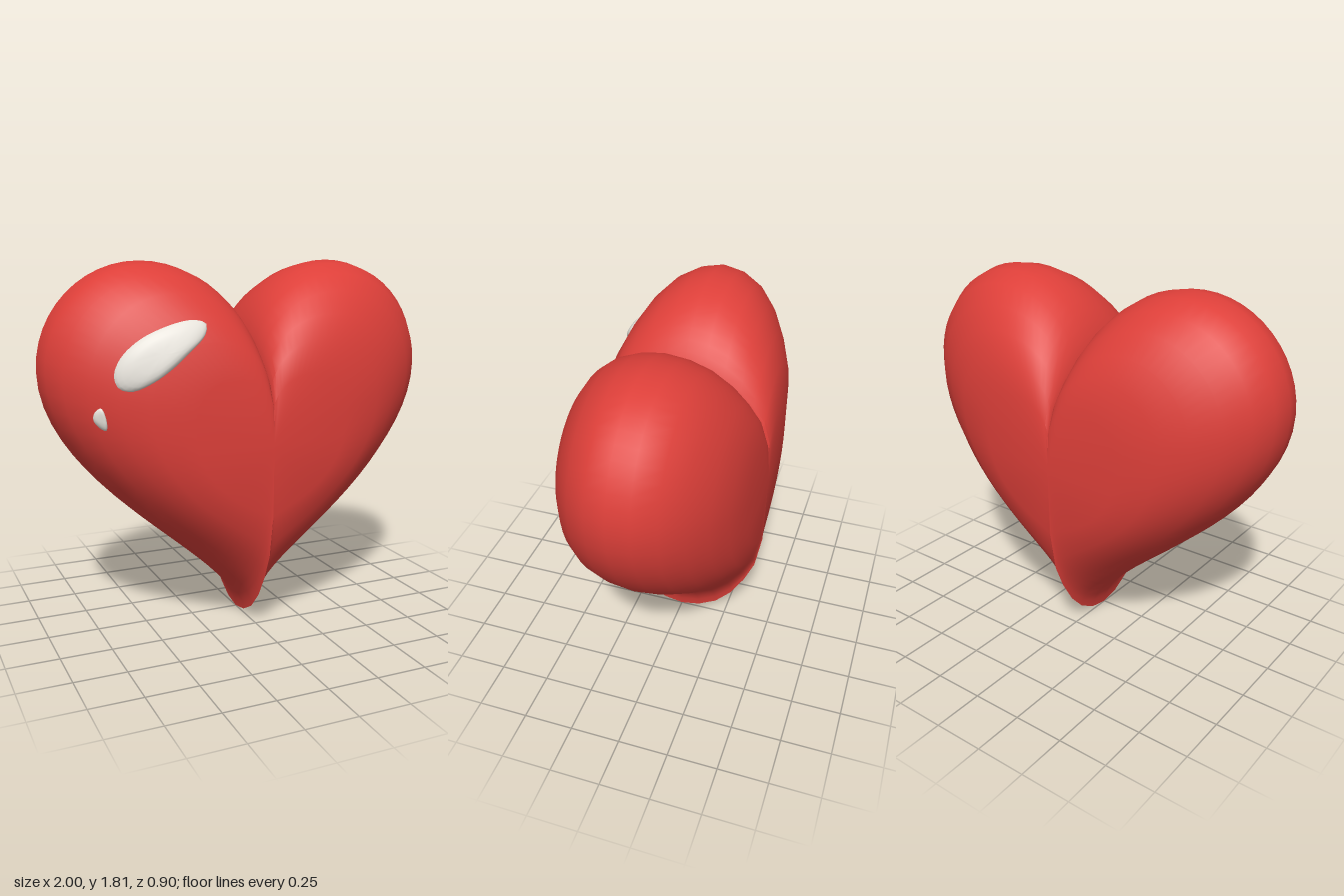
import * as THREE from 'three';
import { toCreasedNormals } from 'three/addons/utils/BufferGeometryUtils.js';

const CENTRE = 0.965; // height of the point the heart's rings shrink towards
// half of the section from rim to face: [ring scale, z]
const SECTION = [[1, 0], [0.98, 0.1], [0.924, 0.198], [0.83, 0.283], [0.708, 0.353],
  [0.578, 0.407], [0.385, 0.44], [0, 0.45]];

// Points of a cubic curve; flank marks how far a point lies inside the lower flank
function bezier(points, divisions, flank) {
  const curve = new THREE.CubicBezierCurve(...points.map(([x, y]) => new THREE.Vector2(x, y)));
  return curve.getPoints(divisions).map((p, i) => ({
    x: p.x, y: p.y, flank: flank * Math.sin(Math.PI * i / divisions) ** 2,
  }));
}

// Closed heart outline, clockwise from the cleft
function heartOutline() {
  const half = [
    ...bezier([[0, 1.375], [0, 1.6], [0.22, 1.807], [0.5, 1.807]], 12, 0),
    ...bezier([[0.5, 1.807], [0.776, 1.807], [1, 1.586], [1, 1.31]], 12, 0).slice(1),
    ...bezier([[1, 1.31], [1, 0.73], [0, 0.29], [0, 0]], 20, 0.25).slice(1),
  ];
  const mirrored = half.slice(0, -1).reverse().map((p) => ({ ...p, x: -p.x }));
  return [...half, ...mirrored];
}

// Skin over rows of points (front to back, each clockwise); closed bodies end in one point
function skin(rows, closedBack, crease) {
  const n = rows[0].length;
  const index = [];
  for (let i = 0; i < rows.length - 1; i++) {
    for (let j = 0; j < n - 1; j++) {
      const a = i * n + j, b = a + 1, c = a + n, d = c + 1;
      if (i > 0) index.push(a, b, c);
      if (!closedBack || i < rows.length - 2) index.push(b, d, c);
    }
  }
  let geo = new THREE.BufferGeometry();
  geo.setAttribute('position', new THREE.Float32BufferAttribute(rows.flat(2), 3));
  geo.setIndex(index);
  geo.scale(20, 20, 20); // keeps close points apart while creasing
  geo = toCreasedNormals(geo, crease);
  geo.scale(0.05, 0.05, 0.05);
  return geo;
}

// z of the heart's front face at (x, y), from where the ray through it meets the outline
function frontZ(outline, x, y) {
  const dy = y - CENTRE;
  let r = 0;
  for (let j = 0; j < outline.length - 1; j++) {
    const p = outline[j], q = outline[j + 1];
    const cp = x * (p.y - CENTRE) - dy * p.x, cq = x * (q.y - CENTRE) - dy * q.x;
    if (cp * cq > 0 || cp === cq) continue;
    const t = cp / (cp - cq);
    const hx = p.x + (q.x - p.x) * t, hy = p.y + (q.y - p.y) * t - CENTRE;
    if (hx * x + hy * dy > 0) r = Math.hypot(x, dy) / Math.hypot(hx, hy);
  }
  const k = SECTION.findIndex(([s]) => s <= r);
  const [r0, z0] = SECTION[k - 1], [r1, z1] = SECTION[k];
  return z0 + (z1 - z0) * (r0 - r) / (r0 - r1);
}

// Low rounded patch lying on the front face
function glint(outline, points, height) {
  const curve = new THREE.CatmullRomCurve3(points.map(([x, y]) => new THREE.Vector3(x, y, 0)), true);
  const edge = curve.getSpacedPoints(48);
  const mid = new THREE.Vector3();
  edge.slice(1).forEach((p) => mid.addScaledVector(p, 1 / 48));
  const rows = [0, 0.25, 0.5, 0.7, 0.85, 0.94, 0.985, 1].map((s) => edge.map((p) => {
    const x = mid.x + (p.x - mid.x) * s, y = mid.y + (p.y - mid.y) * s;
    return [x, y, frontZ(outline, x, y) - 0.005 + height * Math.sqrt(1 - s ** 4)];
  }));
  return skin(rows, false, 1.2);
}

export function createModel() {
  const red = new THREE.MeshStandardMaterial({ color: 0xdd3f39 });
  red.name = 'red';
  const white = new THREE.MeshStandardMaterial({ color: 0xefebe3 });
  white.name = 'warmWhite';
  const group = new THREE.Group();
  group.name = 'heart';
  const addMesh = (name, geo, mat) => {
    const mesh = new THREE.Mesh(geo, mat);
    mesh.name = name;
    group.add(mesh);
  };

  // Body: outline rings shrinking towards the front and back faces, fuller on the lower flanks
  const outline = heartOutline();
  const ring = ([scale, z]) => outline.map((p) => {
    const s = scale ** (1 - p.flank);
    return [p.x * s, CENTRE + (p.y - CENTRE) * s, z];
  });
  const levels = [...SECTION.slice().reverse(), ...SECTION.slice(1).map(([s, z]) => [s, -z])];
  addMesh('heartBody', skin(levels.map(ring), true, 0.55), red);

  // Two shine marks on the right lobe
  addMesh('largeShine', glint(outline, [
    [-0.315, 1.49], [-0.385, 1.425], [-0.49, 1.337], [-0.6, 1.268], [-0.658, 1.247], [-0.712, 1.26],
    [-0.729, 1.316], [-0.695, 1.396], [-0.604, 1.476], [-0.47, 1.533], [-0.364, 1.552], [-0.303, 1.535],
  ], 0.035), white);
  addMesh('smallShine', glint(outline, [
    [-0.762, 1.128], [-0.76, 1.067], [-0.79, 1.083], [-0.813, 1.118], [-0.807, 1.155], [-0.783, 1.174],
  ], 0.022), white);
  return group;
}
